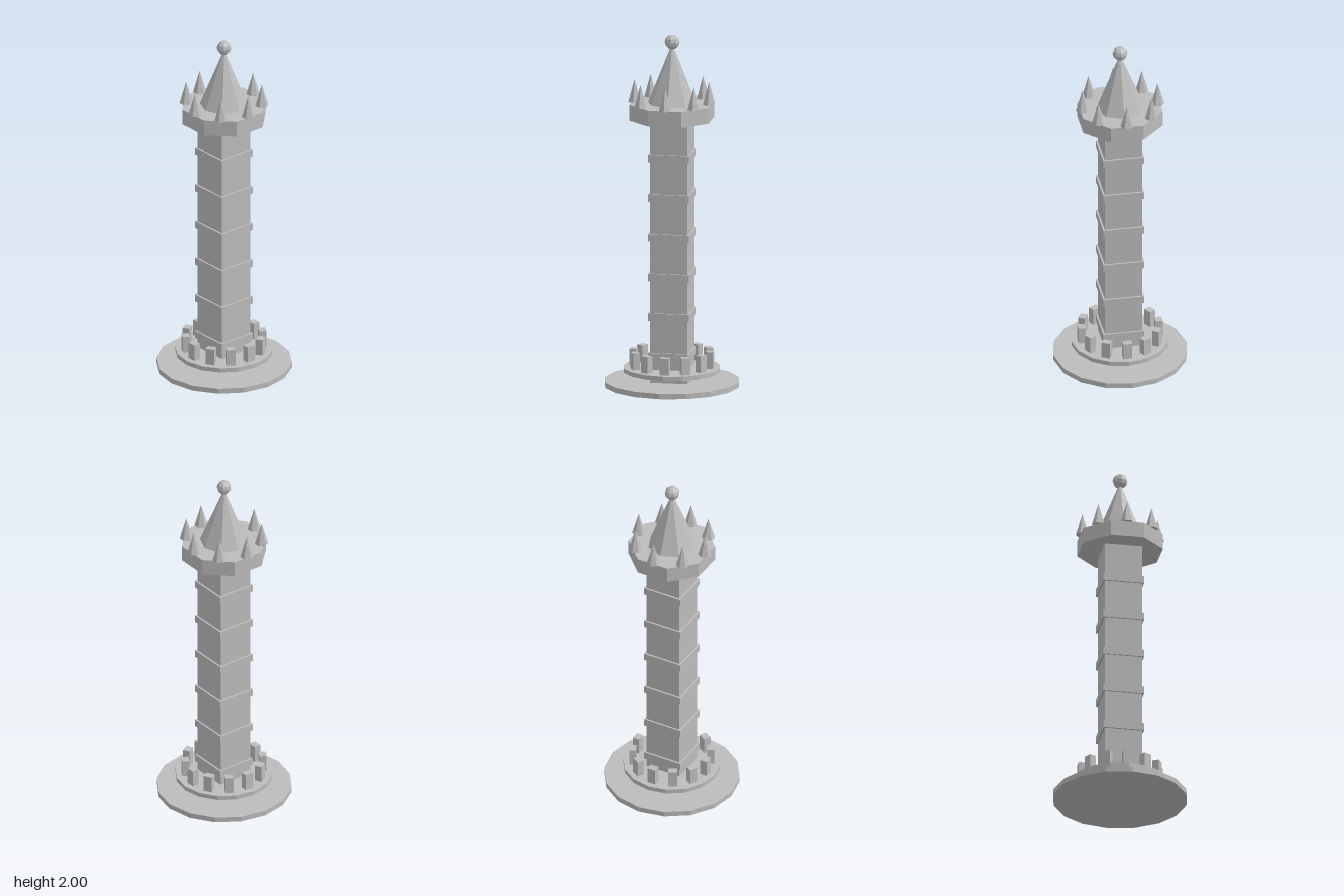
import * as THREE from 'three';

export function createModel() {
  const model = new THREE.Group();
  const stone = new THREE.MeshStandardMaterial({ color: 0xbcbcbc, flatShading: true });
  stone.name = 'grey stone';

  const add = (name, geometry, x, y, z, turn = 0) => {
    const mesh = new THREE.Mesh(geometry, stone);
    mesh.name = name;
    mesh.position.set(x, y, z);
    mesh.rotation.y = turn;
    model.add(mesh);
  };
  // Flat-sided disc standing on the height y
  const disc = (name, radius, y, height, sides, turn = 0) =>
    add(name, new THREE.CylinderGeometry(radius, radius, height, sides), 0, y + height / 2, 0, turn);
  // Copies spread evenly on a circle
  const ring = (name, geometry, count, radius, y, turnOf) => {
    for (let i = 0; i < count; i++) {
      const a = (i / count) * Math.PI * 2;
      add(name + (i + 1), geometry, Math.sin(a) * radius, y, Math.cos(a) * radius, turnOf(a));
    }
  };

  // Foot and raised terrace with its battlements
  disc('base', 0.38, 0, 0.03, 16);
  disc('terrace', 0.272, 0.08, 0.025, 16);
  ring('battlement', new THREE.BoxGeometry(0.05, 0.095, 0.04), 12, 0.217, 0.1525, (a) => a);

  // Square shaft with projecting bands
  add('shaft', new THREE.BoxGeometry(0.21, 1.49, 0.21), 0, 0.775, 0);
  const band = new THREE.BoxGeometry(0.23, 0.042, 0.23);
  for (let i = 0; i < 6; i++) add('band' + (i + 1), band, 0, 0.18 + i * 0.2265, 0);

  // Octagonal crown, spikes, spire and finial
  disc('crown', 0.243, 1.52, 0.09, 8, Math.PI / 8);
  ring('spike', new THREE.ConeGeometry(0.037, 0.13, 6), 8, 0.212, 1.675, () => Math.PI / 6);
  add('spire', new THREE.ConeGeometry(0.136, 0.34, 8), 0, 1.78, 0);
  add('finial', new THREE.SphereGeometry(0.042, 8, 6), 0, 1.958, 0);

  return model;
}
